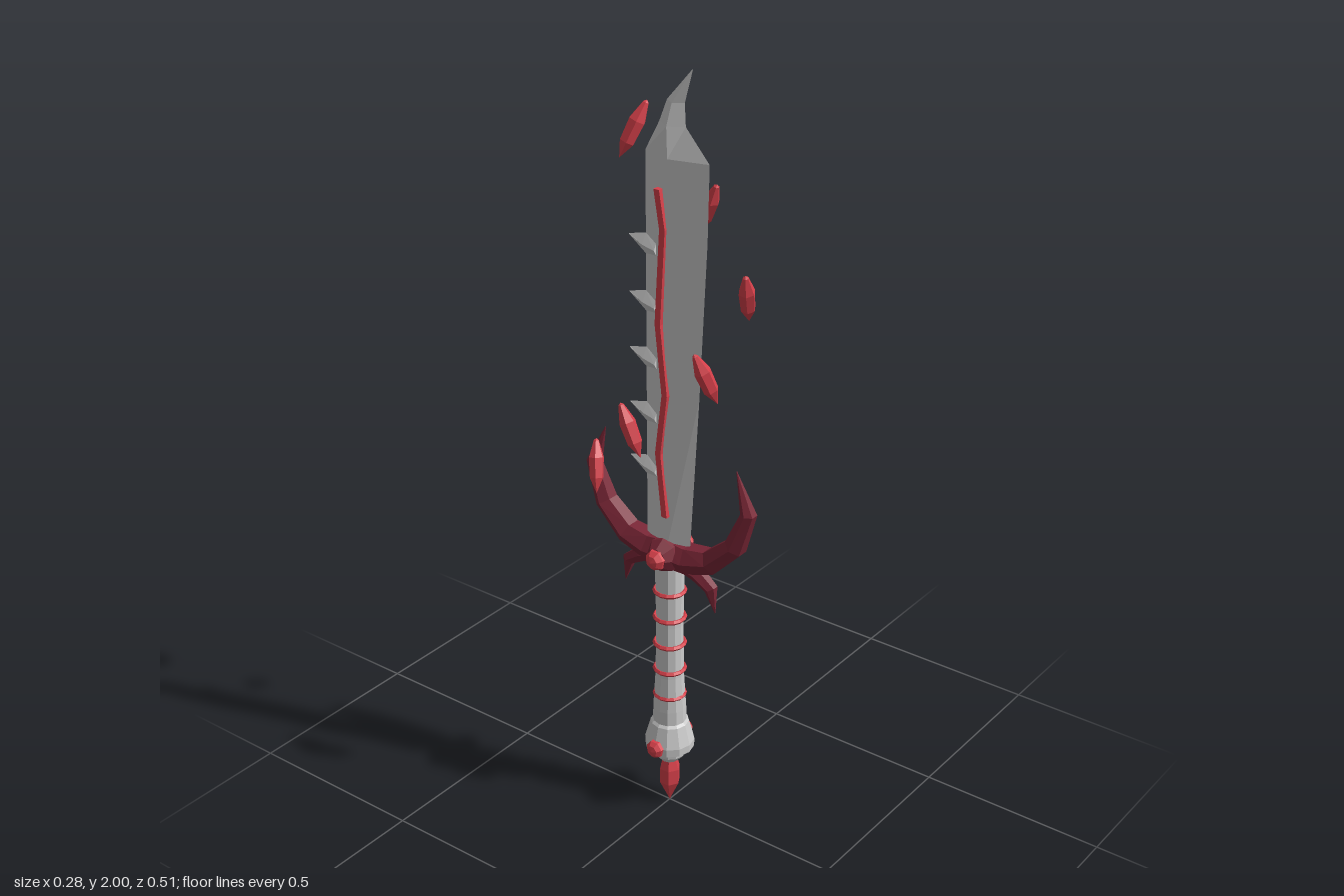
import * as THREE from 'three';

const V = (x, y, z) => new THREE.Vector3(x, y, z);
const material = (color) => new THREE.MeshStandardMaterial({ color, flatShading: true });
const steel = material(0xcccccc);
const crimson = material(0x7a2636);
const ruby = material(0xd6404a);

// Skins a list of equal-sized rings, caps both ends and turns all faces outward.
function loft(rings) {
  const n = rings[0].length;
  const pts = rings.flat();
  const faces = [];
  for (let r = 0; r < rings.length - 1; r++) {
    for (let i = 0; i < n; i++) {
      const a = r * n + i, b = r * n + (i + 1) % n;
      faces.push([a, b, b + n], [a, b + n, a + n]);
    }
  }
  const last = (rings.length - 1) * n;
  for (let i = 1; i < n - 1; i++) faces.push([0, i + 1, i], [last, last + i, last + i + 1]);
  let volume = 0;
  for (const [a, b, c] of faces) volume += pts[a].dot(pts[b].clone().cross(pts[c]));
  const geometry = new THREE.BufferGeometry().setFromPoints(pts);
  geometry.setIndex(faces.flatMap(([a, b, c]) => (volume < 0 ? [a, c, b] : [a, b, c])));
  geometry.computeVertexNormals();
  return geometry;
}

// Tapered limb bent in the yz plane; stations are [z, y, half thickness, half width in x].
function limb(stations, side) {
  const rings = stations.map(([z, y, t, w], i) => {
    const p = stations[Math.max(i - 1, 0)], q = stations[Math.min(i + 1, stations.length - 1)];
    const d = new THREE.Vector2(q[0] - p[0], q[1] - p[1]).normalize();
    return Array.from({ length: 6 }, (_, k) => {
      const a = k * Math.PI / 3;
      const s = Math.sin(a) * t / 0.866;
      return V(Math.cos(a) * w, y + s * d.x, side * (z - s * d.y));
    });
  });
  return loft(rings);
}

function lathe(profile, sides) {
  return new THREE.LatheGeometry(profile.map(([r, y]) => new THREE.Vector2(r, y)), sides);
}

export function createModel() {
  const sword = new THREE.Group();
  sword.name = 'sword';
  const add = (name, geometry, mat, parent = sword) => {
    const mesh = new THREE.Mesh(geometry, mat);
    mesh.name = name;
    parent.add(mesh);
    return mesh;
  };

  // Blade: diamond sections [y, front edge z, back edge z, ridge z, half thickness]
  const sections = [
    [0.74, 0.06, -0.07, 0, 0.025], [1.2, 0.088, -0.07, 0.005, 0.026],
    [1.6, 0.108, -0.07, 0.01, 0.026], [1.79, 0.112, -0.07, 0.012, 0.026],
    [1.865, 0.045, -0.03, 0.008, 0.024], [1.92, 0.042, -0.008, 0.018, 0.017],
    [2.0, 0.064, 0.062, 0.063, 0.001],
  ];
  add('blade', loft(sections.map(([y, f, b, m, w]) =>
    [V(0, y, f), V(w, y, m), V(0, y, b), V(-w, y, m)])), steel);

  // Saw teeth on the back edge
  for (let i = 0; i < 5; i++) {
    const y = 0.99 + i * 0.145;
    const ring = (z, cy, h, w) => [V(0, cy + h, z), V(w, cy, z), V(0, cy - h, z), V(-w, cy, z)];
    add('sawTooth', loft([
      ring(-0.03, y - 0.012, 0.036, 0.022),
      ring(-0.07, y - 0.008, 0.026, 0.015),
      ring(-0.12, y + 0.004, 0.001, 0.001),
    ]), steel);
  }

  // Zigzag veins on both faces of the blade
  const vein = [[0.87, 0.007], [1.04, -0.012], [1.2, 0.008], [1.38, -0.012], [1.62, 0.002], [1.715, -0.014]];
  for (const s of [1, -1]) {
    add('vein', loft(vein.map(([y, z]) => [
      V(s * 0.018, y, z - 0.008), V(s * 0.033, y, z - 0.008),
      V(s * 0.033, y, z + 0.008), V(s * 0.018, y, z + 0.008),
    ])), ruby);
  }

  // Guard: curved horns and small downward claws
  const horn = [
    [0, 0.76, 0.038, 0.044], [0.06, 0.757, 0.035, 0.041], [0.13, 0.775, 0.03, 0.036],
    [0.2, 0.84, 0.025, 0.031], [0.237, 0.94, 0.018, 0.021], [0.2, 1.045, 0.001, 0.001],
  ];
  const claw = [
    [0.03, 0.745, 0.022, 0.026], [0.085, 0.725, 0.019, 0.022],
    [0.128, 0.695, 0.016, 0.017], [0.141, 0.63, 0.001, 0.001],
  ];
  for (const side of [1, -1]) {
    add('guardHorn', limb(horn, side), crimson);
    add('guardClaw', limb(claw, side), crimson);
  }
  const hub = add('guardHub', lathe([[0, -0.056], [0.028, -0.056], [0.046, -0.03],
    [0.046, 0.03], [0.028, 0.056], [0, 0.056]], 8), crimson);
  hub.rotation.z = Math.PI / 2;
  hub.position.y = 0.76;

  // Grip with raised rings
  add('grip', lathe([[0, 0.22], [0.045, 0.22], [0.043, 0.3], [0.037, 0.4],
    [0.035, 0.55], [0.038, 0.73], [0, 0.73]], 12), steel);
  for (let i = 0; i < 5; i++) {
    const ring = add('gripRing', new THREE.TorusGeometry(0.038, 0.0065, 5, 14), ruby);
    ring.rotation.x = Math.PI / 2;
    ring.position.y = 0.34 + i * 0.077;
  }

  // Pommel and the crystal below it
  add('pommel', lathe([[0, 0.135], [0.025, 0.135], [0.042, 0.155], [0.044, 0.175],
    [0.064, 0.178], [0.065, 0.2], [0.05, 0.255], [0.044, 0.262], [0, 0.262]], 12), steel);
  add('pommelCrystal', lathe([[0, 0], [0.028, 0.062], [0.028, 0.105],
    [0.016, 0.145], [0, 0.145]], 6), ruby);

  // Side gems on guard and pommel
  for (const s of [1, -1]) {
    for (const [name, x, y, r] of [['guardGem', 0.055, 0.76, 0.029], ['pommelGem', 0.061, 0.196, 0.026]]) {
      const gem = add(name, new THREE.SphereGeometry(r, 7, 5), ruby);
      gem.rotation.z = Math.PI / 2;
      gem.scale.y = name === 'guardGem' ? 0.9 : 0.8;
      gem.position.set(s * x, y, 0);
    }
  }

  // Crystals floating in a spiral, given by upper and lower tip
  const shard = lathe([[0, -0.5], [0.13, -0.22], [0.145, 0.15], [0.05, 0.46], [0, 0.5]], 6);
  const tips = [
    [V(0.1, 1.868, -0.142), V(0.05, 1.732, -0.187)],
    [V(0.111, 1.7, 0.053), V(0.128, 1.572, -0.005)],
    [V(0.027, 1.535, 0.196), V(0.075, 1.402, 0.175)],
    [V(-0.097, 1.37, 0.143), V(-0.053, 1.238, 0.18)],
    [V(-0.122, 1.2, -0.055), V(-0.12, 1.07, 0.004)],
    [V(-0.035, 1.027, -0.202), V(-0.076, 0.9, -0.17)],
  ];
  const shards = new THREE.Group();
  shards.name = 'floatingCrystals';
  sword.add(shards);
  for (const [top, bottom] of tips) {
    const axis = top.clone().sub(bottom);
    const mesh = add('floatingCrystal', shard, ruby, shards);
    mesh.position.copy(top).add(bottom).multiplyScalar(0.5);
    mesh.scale.setScalar(axis.length());
    mesh.quaternion.setFromUnitVectors(V(0, 1, 0), axis.normalize());
  }
  return sword;
}
